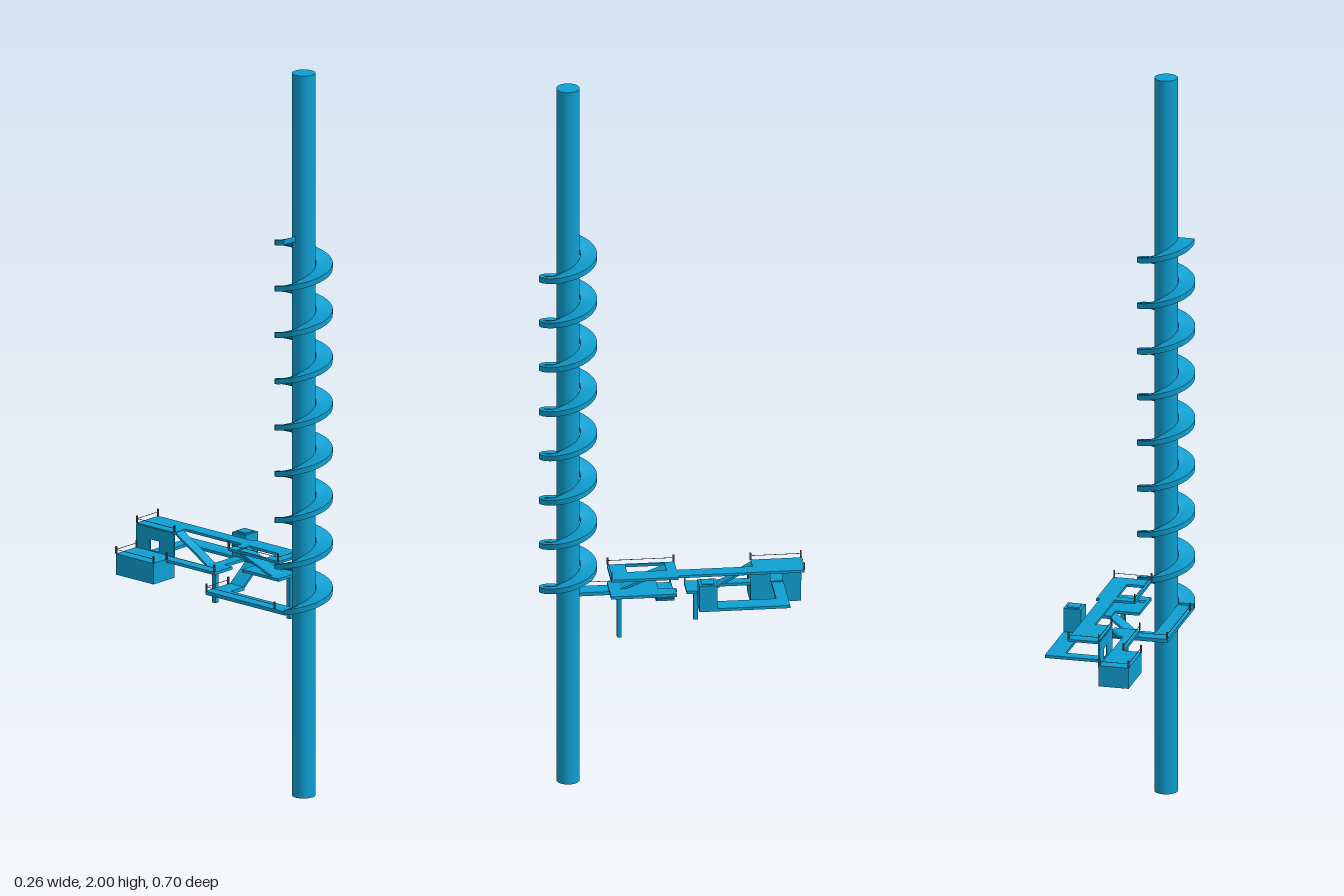
import * as THREE from 'three';

const blue = new THREE.MeshStandardMaterial({ color: 0x0e9fd2, side: THREE.DoubleSide });
blue.name = 'azure blue';
const brown = new THREE.MeshStandardMaterial({ color: 0x6b5a54 });
brown.name = 'railing brown';

const POLE = { x: -0.053, z: 0.272, r: 0.031 };

// Box given by its limits on each axis
function block(parent, name, [x0, x1], [y0, y1], [z0, z1], material = blue) {
  const mesh = new THREE.Mesh(new THREE.BoxGeometry(x1 - x0, y1 - y0, z1 - z0), material);
  mesh.position.set((x0 + x1) / 2, (y0 + y1) / 2, (z0 + z1) / 2);
  mesh.name = name;
  parent.add(mesh);
  return mesh;
}

function rectPath(PathClass, a0, a1, b0, b1) {
  return new PathClass([[a0, b0], [a1, b0], [a1, b1], [a0, b1]].map(([a, b]) => new THREE.Vector2(a, b)));
}

// Thin sloped slab between two points, running along x or z
function stairs(parent, name, from, to, width) {
  const a = new THREE.Vector3(...from), b = new THREE.Vector3(...to);
  const mesh = new THREE.Mesh(new THREE.BoxGeometry(width, 0.006, a.distanceTo(b)), blue);
  mesh.position.copy(a).add(b).multiplyScalar(0.5);
  mesh.lookAt(b);
  mesh.name = name;
  parent.add(mesh);
}

// Corner posts joined by a thin rail
function railing(parent, name, y, points) {
  const group = new THREE.Group();
  group.name = name;
  const t = 0.0012;
  points.forEach(([x, z], i) => {
    block(group, 'post', [x - 0.002, x + 0.002], [y, y + 0.02], [z - 0.002, z + 0.002], brown);
    if (i === 0) return;
    const [px, pz] = points[i - 1];
    block(group, 'rail', [Math.min(x, px) - t / 2, Math.max(x, px) + t / 2], [y + 0.011, y + 0.011 + t],
      [Math.min(z, pz) - t / 2, Math.max(z, pz) + t / 2], brown);
  });
  parent.add(group);
}

// Spiral ramp: a rectangular section swept up around the pole
function spiralRamp() {
  const turns = 8, perTurn = 48, inner = 0.033, outer = 0.077, thick = 0.015;
  const y0 = 0.53, y1 = 1.555, n = turns * perTurn;
  const section = [[inner, 0], [outer, 0], [outer, -thick], [inner, -thick]];
  const pos = [], idx = [];
  const point = (i, k) => {
    const a = Math.PI - (i / perTurn) * Math.PI * 2; // from -x by way of +z to +x
    const [r, dy] = section[k % 4];
    return [POLE.x + r * Math.cos(a), y0 + (y1 - y0) * i / n + dy, POLE.z + r * Math.sin(a)];
  };
  const quad = (a, b, c, d) => {
    const s = pos.length / 3;
    pos.push(...a, ...b, ...c, ...d);
    idx.push(s, s + 1, s + 2, s, s + 2, s + 3);
  };
  for (let i = 0; i < n; i++) {
    for (let k = 0; k < 4; k++) quad(point(i, k), point(i, k + 1), point(i + 1, k + 1), point(i + 1, k));
  }
  quad(point(0, 3), point(0, 2), point(0, 1), point(0, 0));
  quad(point(n, 0), point(n, 1), point(n, 2), point(n, 3));
  // make the winding face outwards
  for (let i = 0; i < idx.length; i += 3) [idx[i + 1], idx[i + 2]] = [idx[i + 2], idx[i + 1]];
  const up = new THREE.Vector3(), g = new THREE.BufferGeometry();
  g.setAttribute('position', new THREE.Float32BufferAttribute(pos, 3));
  g.setIndex(idx);
  g.computeVertexNormals();
  up.fromBufferAttribute(g.attributes.normal, 0);
  if (up.y < 0) {
    g.setIndex(idx.reverse());
    g.computeVertexNormals();
  }
  const mesh = new THREE.Mesh(g, blue);
  mesh.name = 'spiralRamp';
  return mesh;
}

export function createModel() {
  const model = new THREE.Group();
  model.name = 'spiralTowerStation';

  // Tower
  const pole = new THREE.Mesh(new THREE.CylinderGeometry(POLE.r, POLE.r, 2, 32), blue);
  pole.position.set(POLE.x, 1, POLE.z);
  pole.name = 'pole';
  model.add(pole, spiralRamp());

  // Entry walkway from the foot of the ramp, then stairs to the lower platform
  const entry = new THREE.Group();
  entry.name = 'entryWalkway';
  model.add(entry);
  block(entry, 'longWalk', [-0.13, -0.085], [0.515, 0.525], [-0.01, 0.27]);
  block(entry, 'crossWalk', [-0.085, -0.03], [0.515, 0.525], [-0.01, 0.04]);
  stairs(entry, 'entryStairs', [-0.035, 0.52, 0.015], [0.03, 0.572, 0.015], 0.048);
  railing(entry, 'entryRailing', 0.525, [[-0.128, 0.235], [-0.128, -0.008], [-0.042, -0.008]]);

  // Lower platform, its leg and the stairs up to the deck
  const lower = new THREE.Group();
  lower.name = 'lowerPlatform';
  model.add(lower);
  block(lower, 'platform', [-0.04, 0.065], [0.567, 0.575], [0.04, 0.17]);
  block(lower, 'platformCorner', [0.025, 0.065], [0.567, 0.575], [-0.005, 0.04]);
  block(lower, 'leg', [0.026, 0.038], [0.445, 0.567], [0.139, 0.151]);
  stairs(lower, 'deckStairs', [-0.009, 0.572, 0.14], [-0.009, 0.618, 0.014], 0.046);

  // Upper deck: front slab with stair opening, corridor, back slab
  const deck = new THREE.Group();
  deck.name = 'upperDeck';
  model.add(deck);
  const slab = rectPath(THREE.Shape, -0.04, 0.065, -0.01, 0.17);
  slab.holes.push(rectPath(THREE.Path, -0.033, 0.015, 0.017, 0.122));
  const front = new THREE.Mesh(new THREE.ExtrudeGeometry(slab, { depth: 0.007, bevelEnabled: false }), blue);
  front.rotation.x = Math.PI / 2;
  front.position.y = 0.623;
  front.name = 'frontSlab';
  deck.add(front);
  block(deck, 'corridor', [0.015, 0.055], [0.616, 0.623], [-0.212, -0.01]);
  block(deck, 'backSlab', [-0.03, 0.055], [0.616, 0.623], [-0.347, -0.212]);
  railing(deck, 'frontRailing', 0.623, [[-0.04, -0.008], [-0.04, 0.168], [0.062, 0.168]]);
  railing(deck, 'backRailing', 0.623, [[-0.03, -0.212], [-0.03, -0.346], [0.053, -0.346]]);

  // Landing, its leg, the walk to the cabin and the stairs up to the deck
  const landing = new THREE.Group();
  landing.name = 'landing';
  model.add(landing);
  block(landing, 'landingFloor', [-0.063, 0.007], [0.548, 0.556], [-0.102, -0.038]);
  block(landing, 'cabinWalk', [-0.063, -0.033], [0.548, 0.556], [-0.212, -0.102]);
  block(landing, 'leg', [-0.036, -0.024], [0.46, 0.548], [-0.071, -0.059]);
  stairs(landing, 'landingStairs', [-0.009, 0.552, -0.1], [-0.009, 0.619, -0.214], 0.03);
  railing(landing, 'landingRailing', 0.556, [[-0.062, -0.21], [-0.062, -0.04]]);

  // Cabin block with a wall pierced by a doorway
  const cabin = new THREE.Group();
  cabin.name = 'cabin';
  model.add(cabin);
  block(cabin, 'cabinBlock', [-0.112, -0.03], [0.498, 0.556], [-0.347, -0.212]);
  const wallShape = rectPath(THREE.Shape, 0.212, 0.347, 0.55, 0.62);
  wallShape.holes.push(rectPath(THREE.Path, 0.265, 0.297, 0.558, 0.588));
  const wall = new THREE.Mesh(new THREE.ExtrudeGeometry(wallShape, { depth: 0.004, bevelEnabled: false }), blue);
  wall.rotation.y = Math.PI / 2;
  wall.position.x = -0.032;
  wall.name = 'cabinWall';
  cabin.add(wall);
  railing(cabin, 'cabinRailing', 0.556, [[-0.111, -0.213], [-0.111, -0.346], [-0.032, -0.346]]);

  // Outer walkway loop with a booth at its front end
  const loop = new THREE.Group();
  loop.name = 'outerWalkway';
  model.add(loop);
  block(loop, 'outerWalk', [0.081, 0.13], [0.548, 0.556], [-0.3, -0.058]);
  block(loop, 'backLink', [-0.03, 0.081], [0.548, 0.556], [-0.3, -0.268]);
  block(loop, 'frontLink', [0.007, 0.081], [0.548, 0.556], [-0.096, -0.065]);
  block(loop, 'booth', [0.081, 0.13], [0.556, 0.622], [-0.106, -0.058]);
  block(loop, 'boothHatch', [0.089, 0.122], [0.622, 0.625], [-0.099, -0.065]);

  return model;
}
